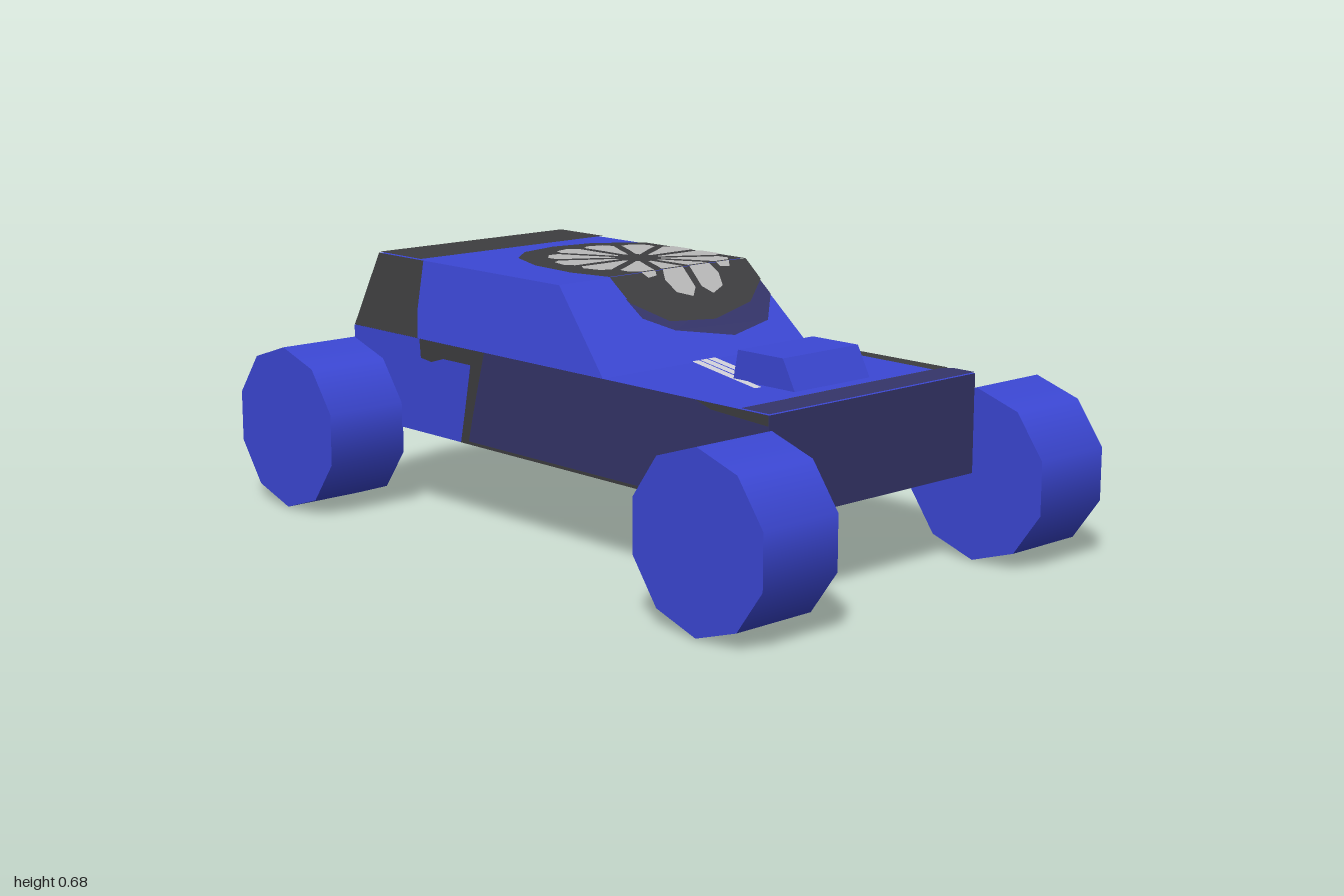
import * as THREE from 'three';

const paint = (name, color) => {
  const m = new THREE.MeshStandardMaterial({ color });
  m.name = name;
  return m;
};

// Keep the part of a 2D polygon where sign * p[axis] <= sign * limit
function clip(pts, axis, limit, sign) {
  const out = [];
  pts.forEach((a, i) => {
    const b = pts[(i + 1) % pts.length];
    const da = sign * (limit - a[axis]), db = sign * (limit - b[axis]);
    if (da >= 0) out.push(a);
    if (da * db < 0) {
      const t = da / (da - db);
      out.push([a[0] + (b[0] - a[0]) * t, a[1] + (b[1] - a[1]) * t]);
    }
  });
  return out;
}

// Flat painted panel: a 2D outline mapped onto a face, lifted slightly outward
function panel(parent, name, pts, map, outward, material, lift = 0.003) {
  if (pts.length < 3) return;
  const v2 = pts.map(p => new THREE.Vector2(p[0], p[1]));
  if (THREE.ShapeUtils.isClockWise(v2)) v2.reverse();
  const n = new THREE.Vector3(...outward).normalize();
  const v3 = v2.map(p => new THREE.Vector3(...map(p.x, p.y)).addScaledVector(n, lift));
  const index = [];
  for (const [a, b, c] of THREE.ShapeUtils.triangulateShape(v2, [])) {
    const up = v3[b].clone().sub(v3[a]).cross(v3[c].clone().sub(v3[a])).dot(n) > 0;
    index.push(a, ...(up ? [b, c] : [c, b]));
  }
  const g = new THREE.BufferGeometry().setFromPoints(v3);
  g.setIndex(index);
  g.computeVertexNormals();
  const mesh = new THREE.Mesh(g, material);
  mesh.name = name;
  parent.add(mesh);
}

// Box whose top and bottom have their own half width and z range
function taperedBox(y0, y1, w0, w1, [f0, b0], [f1, b1]) {
  const g = new THREE.BoxGeometry(2, 2, 2);
  const p = g.attributes.position;
  for (let i = 0; i < p.count; i++) {
    const top = p.getY(i) > 0, front = p.getZ(i) > 0;
    p.setXYZ(i, p.getX(i) * (top ? w1 : w0), top ? y1 : y0,
      top ? (front ? f1 : b1) : (front ? f0 : b0));
  }
  g.computeVertexNormals();
  return g;
}

export function createModel() {
  const car = new THREE.Group();
  car.name = 'car';
  const blue = paint('blue', 0x3c48d6);
  const navy = paint('navy', 0x35356a);
  const dark = paint('darkGrey', 0x3e3e40);
  const grey = paint('lightGrey', 0xb9b9b9);
  const white = paint('paleStripe', 0xd6d6de);

  const add = (name, geometry, material, parent = car) => {
    const m = new THREE.Mesh(geometry, material);
    m.name = name;
    parent.add(m);
    return m;
  };

  // Main volumes
  add('body', taperedBox(0.22, 0.47, 0.357, 0.357, [0.785, -0.79], [0.785, -0.79]),
    [navy, navy, blue, blue, navy, blue]);
  add('cabin', taperedBox(0.47, 0.67, 0.355, 0.32, [0.22, -0.79], [0.02, -0.72]), blue);
  add('hoodScoop', taperedBox(0.47, 0.545, 0.13, 0.13, [0.645, 0.44], [0.605, 0.455]), blue);

  // Paint on both flanks (z, y outlines)
  for (const s of [1, -1]) {
    const flank = (z, y) => [s * 0.357, y, z];
    const cabinSide = (z, y) => [s * (0.355 - (y - 0.47) * 0.175), y, z];
    const out = [s, 0, 0], slope = [s, 0.175, 0];
    panel(car, 'rearFlank', [[-0.28, 0.47], [-0.79, 0.47], [-0.79, 0.22], [-0.33, 0.22]],
      flank, out, blue, 0.002);
    panel(car, 'flankBand', [[-0.23, 0.47], [-0.5, 0.47], [-0.495, 0.42], [-0.45, 0.415],
      [-0.4, 0.43], [-0.285, 0.43], [-0.33, 0.22], [-0.3, 0.22], [-0.265, 0.35]], flank, out, dark);
    panel(car, 'flankTopTrim', [[0.785, 0.47], [0.55, 0.47], [0.6, 0.455], [0.785, 0.445]],
      flank, out, dark);
    panel(car, 'flankBottomTrim', [[0.55, 0.22], [-0.3, 0.22], [-0.3, 0.228], [0.55, 0.228]],
      flank, out, dark);
    panel(car, 'rearPillar', [[-0.525, 0.67], [-0.72, 0.67], [-0.79, 0.47], [-0.51, 0.47],
      [-0.525, 0.54]], cabinSide, slope, dark);
    if (s > 0) {
      // Edge of the roof disc running over the left side
      panel(car, 'discSideFringe', [[0.02, 0.67], [-0.01, 0.635], [-0.06, 0.6], [-0.14, 0.58],
        [-0.24, 0.58], [-0.32, 0.61], [-0.36, 0.67]], cabinSide, slope, navy, 0.002);
      panel(car, 'discSide', [[0.02, 0.67], [0, 0.64], [-0.07, 0.61], [-0.15, 0.598],
        [-0.25, 0.605], [-0.32, 0.63], [-0.36, 0.67]], cabinSide, slope, dark);
      panel(car, 'petalSide', [[-0.08, 0.67], [-0.11, 0.655], [-0.2, 0.652], [-0.25, 0.67]],
        cabinSide, slope, grey, 0.005);
    }
  }

  // Paint on the deck and underside (x, z outlines)
  const deck = (x, z) => [x, 0.47, z];
  const up = [0, 1, 0];
  panel(car, 'deckEdge', [[0.32, 0.22], [0.357, 0.22], [0.357, 0.7], [-0.2, 0.7], [-0.2, 0.69],
    [0.31, 0.69]], deck, up, dark, 0.002);
  panel(car, 'deckNose', [[-0.357, 0.695], [0.33, 0.695], [0.357, 0.72], [0.357, 0.785],
    [-0.357, 0.785]], deck, up, navy, 0.003);
  for (let i = 0; i < 3; i++) {
    const x = -0.058 + i * 0.028, end = 0.56 - i * 0.06, dx = (end - 0.22) * 0.35;
    panel(car, 'hoodStreak', [[x, 0.22], [x + 0.024, 0.22], [x + 0.022 - dx, end], [x - dx, end]],
      deck, up, white);
  }
  panel(car, 'undersideStrip', [[-0.357, 0.785], [-0.2, 0.785], [-0.23, -0.18], [-0.29, -0.27],
    [-0.357, -0.29]], (x, z) => [x, 0.22, z], [0, -1, 0], dark);

  // Paint draped over roof and windscreen (x, z outlines split at the roof's front edge)
  const roof = (x, z) => [x, 0.67, z];
  const screen = (x, z) => [x, 0.69 - z, z];
  const drape = (name, pts, material, lift) => {
    panel(car, name + 'Roof', clip(clip(pts, 0, 0.32, 1), 1, 0.02, 1), roof, up, material, lift);
    panel(car, name + 'Screen', clip(clip(pts, 0, 0.34, 1), 1, 0.02, -1), screen, [0, 1, 1],
      material, lift);
  };
  panel(car, 'rearRoof', [[-0.32, -0.54], [0.32, -0.54], [0.32, -0.72], [-0.32, -0.72]],
    roof, up, dark);
  panel(car, 'discFringe', [[-0.145, 0.07], [-0.13, 0.115], [-0.05, 0.15], [0.13, 0.18],
    [0.27, 0.16], [0.335, 0.105], [0.325, 0.05]], screen, [0, 1, 1], navy, 0.002);
  drape('disc', [[-0.18, -0.1], [-0.17, -0.25], [-0.12, -0.38], [-0.04, -0.45], [0.08, -0.475],
    [0.2, -0.455], [0.3, -0.385], [0.34, -0.33], [0.325, 0.02], [0.332, 0.07], [0.25, 0.115],
    [0.1, 0.14], [-0.05, 0.13], [-0.14, 0.08], [-0.155, 0.02]], dark, 0.003);
  const petal = [[0.06, -5], [0.14, -10], [0.215, -12], [0.235, -6], [0.235, 6], [0.215, 12],
    [0.14, 10], [0.06, 5]];
  for (let i = 0; i < 12; i++) {
    drape('petal', petal.map(([r, d]) => {
      const a = THREE.MathUtils.degToRad(i * 30 + 15 + d);
      return [0.107 + r * 0.97 * Math.cos(a), -0.16 + r * 1.06 * Math.sin(a)];
    }), grey, 0.005);
  }

  // Four identical wheels, each painted on its +x face
  const R = 0.218, W = 0.234;
  for (const sx of [1, -1]) for (const sz of [1, -1]) {
    const wheel = new THREE.Group();
    wheel.name = (sz > 0 ? 'front' : 'rear') + (sx > 0 ? 'Left' : 'Right') + 'Wheel';
    wheel.position.set(sx * 0.473, R, sz * 0.792);
    car.add(wheel);
    add('tyre', new THREE.CylinderGeometry(R, R, W, 10, 1, false, Math.PI / 2)
      .rotateZ(-Math.PI / 2), blue, wheel);
    add('treadPatch', new THREE.CylinderGeometry(R + 0.002, R + 0.002, 0.09, 3, 1, true,
      Math.PI / 2, Math.PI * 0.6).rotateZ(-Math.PI / 2).translate(W / 2 - 0.045, 0, 0), grey, wheel);
    const face = (z, y) => [W / 2, y, z];
    panel(wheel, 'facePatch', [[0, -0.217], [-0.07, 0.01], [-0.09, 0.025], [-0.12, 0.025],
      [-0.14, 0.055], [-0.2, 0.065], [-0.207, -0.067], [-0.128, -0.177]], face, [1, 0, 0], grey, 0.002);
    for (const [z, y] of [[0.205, -0.012], [0.205, -0.05], [0.165, -0.092]]) {
      const y1 = y - (z + 0.01) * 0.33;
      panel(wheel, 'faceStripe', [[z, y], [z, y - 0.02], [-0.01, y1 - 0.02], [-0.01, y1]],
        face, [1, 0, 0], white, 0.003);
    }
  }
  return car;
}
